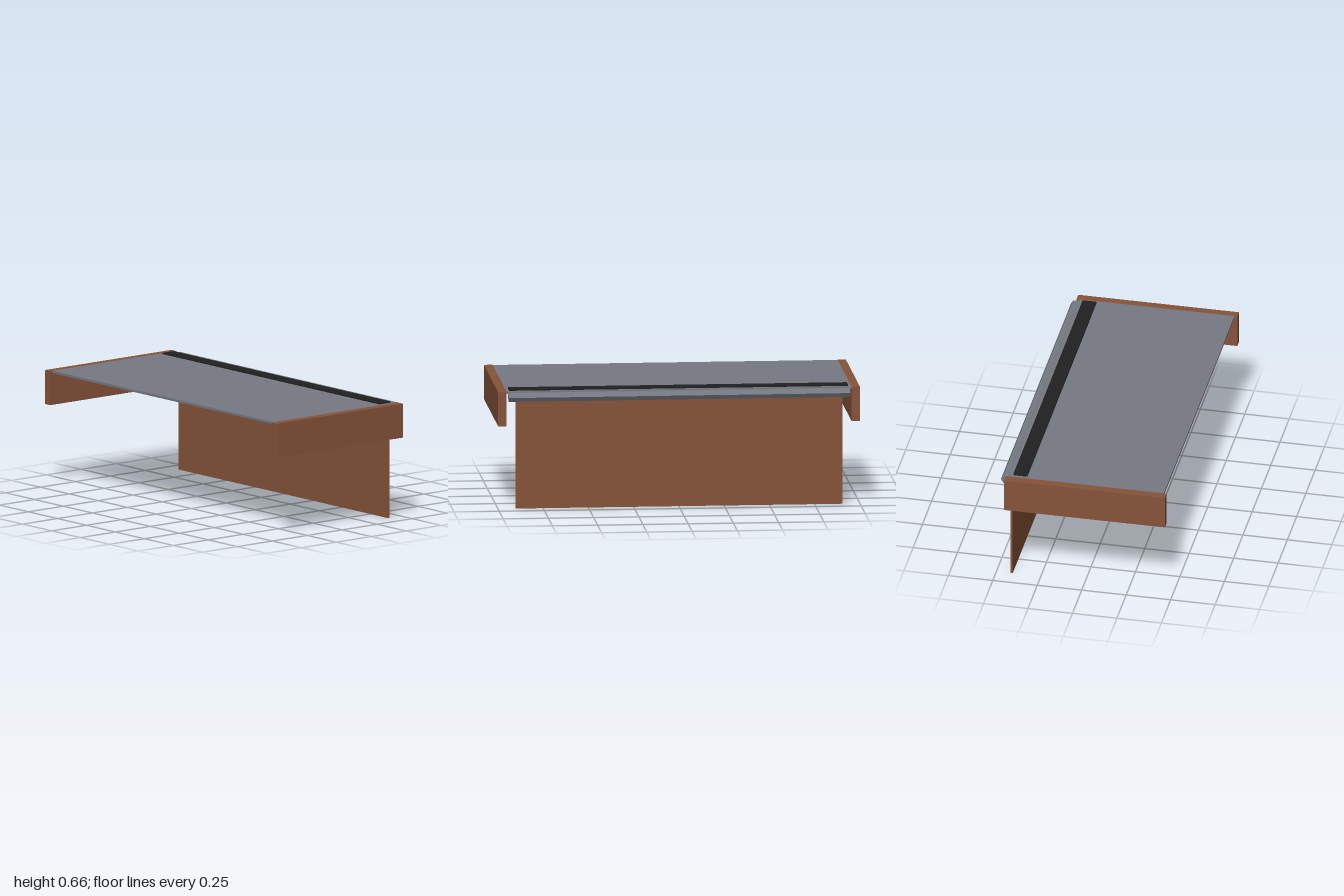
import * as THREE from 'three';

const material = (name, color) => {
  const m = new THREE.MeshStandardMaterial({ color });
  m.name = name;
  return m;
};

export function createModel() {
  const wood = material('brown wood', 0x87543a);
  const metal = material('grey metal', 0x767a82);
  const black = material('black', 0x212121);
  const desk = new THREE.Group();
  desk.name = 'desk';

  // Box given by its [min, max] range on each axis
  const box = (name, mat, [x0, x1], [y0, y1], [z0, z1]) => {
    const mesh = new THREE.Mesh(new THREE.BoxGeometry(x1 - x0, y1 - y0, z1 - z0), mat);
    mesh.position.set((x0 + x1) / 2, (y0 + y1) / 2, (z0 + z1) / 2);
    mesh.name = name;
    desk.add(mesh);
  };

  // Desk surface with the dark strip along its rear edge
  box('deskTop', metal, [-0.953, 0.953], [0.641, 0.654], [-0.422, 0.452]);
  box('rearStrip', black, [-0.936, 0.936], [0.654, 0.661], [-0.398, -0.319]);

  // Wooden end panels
  box('leftSidePanel', wood, [0.953, 1], [0.463, 0.653], [-0.436, 0.468]);
  box('rightSidePanel', wood, [-1, -0.953], [0.463, 0.653], [-0.436, 0.468]);

  // Hanging back board
  box('backBoard', wood, [-0.903, 0.903], [0, 0.641], [-0.42, -0.408]);

  // Hexagonal rail behind the top, with a corner pointing backwards
  const hex = new THREE.CylinderGeometry(0.027, 0.027, 1.886, 6);
  hex.rotateZ(Math.PI / 2);
  const railMetal = metal.clone();
  const rail = new THREE.Mesh(hex.toNonIndexed(), metal);
  rail.geometry.computeVertexNormals();
  rail.position.set(0, 0.625, -0.439);
  rail.name = 'rearRail';
  desk.add(rail);

  return desk;
}
